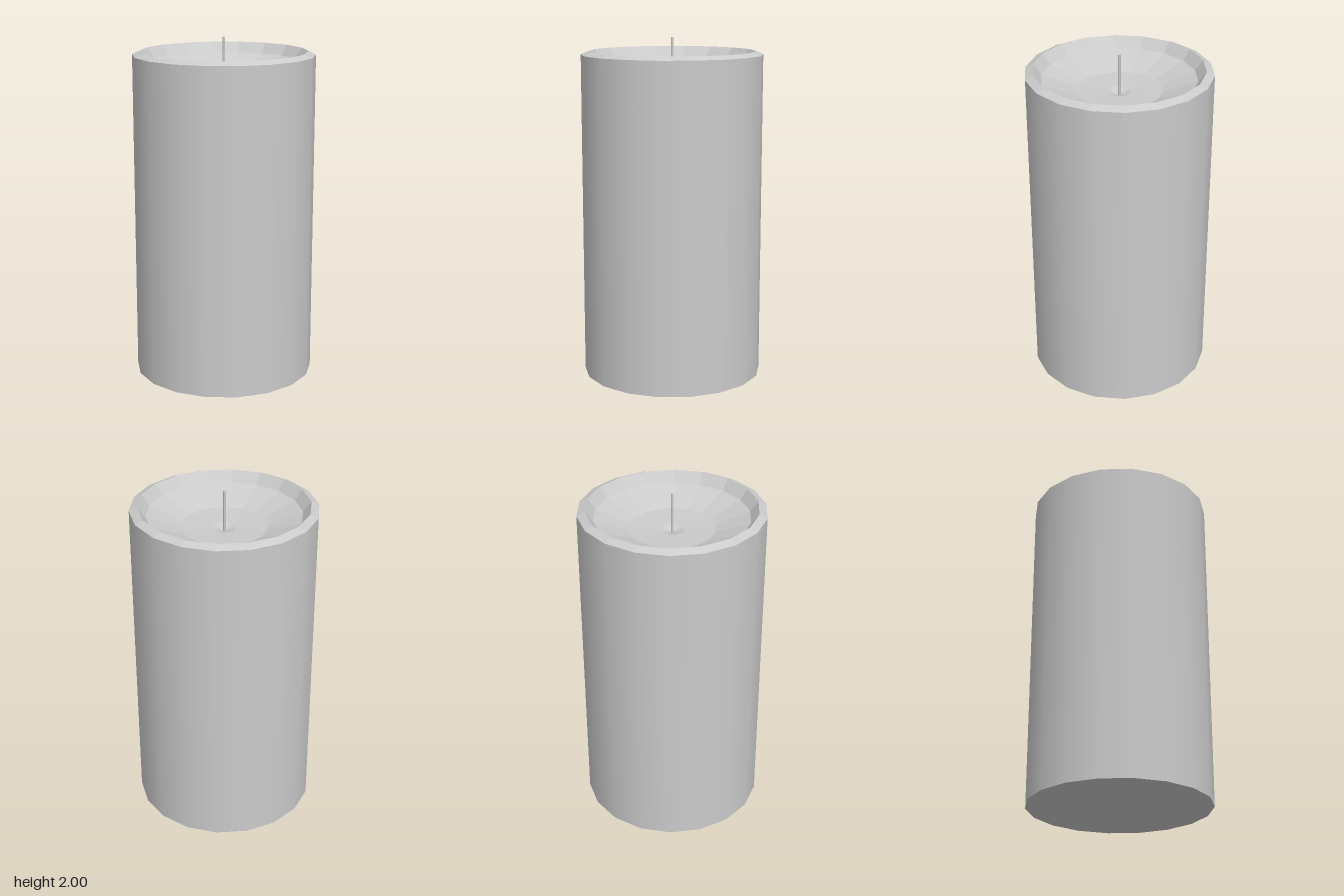
import * as THREE from 'three';

const SIDES = 18;

// One revolved band of the candle; profile runs from the base, up the outside and in to the centre.
function band(name, profile, flatShading) {
  const points = profile.map(([r, y]) => new THREE.Vector2(r, y));
  const geometry = new THREE.LatheGeometry(points, SIDES, Math.PI / 2);
  const mesh = new THREE.Mesh(geometry, new THREE.MeshStandardMaterial({ color: 0xcccccc, flatShading }));
  mesh.name = name;
  return mesh;
}

export function createModel() {
  const candle = new THREE.Group();
  candle.name = 'candle';

  // Wax body: separate bands keep the edges between them sharp
  candle.add(
    band('base', [[0, 0], [0.53, 0]], true),
    band('outerWall', [[0.53, 0], [0.53, 1.9]], false),
    band('rimBevel', [[0.53, 1.9], [0.485, 1.92]], true),
    band('innerRim', [[0.485, 1.92], [0.44, 1.86]], true),
    band('meltedHollow', [[0.44, 1.86], [0.245, 1.79], [0.065, 1.78], [0, 1.757]], true)
  );

  // Wick standing in the central dimple
  const wickBottom = 1.75, wickTop = 2;
  const wick = new THREE.Mesh(
    new THREE.CylinderGeometry(0.008, 0.008, wickTop - wickBottom, 8),
    new THREE.MeshStandardMaterial({ color: 0xcccccc })
  );
  wick.position.y = (wickBottom + wickTop) / 2;
  wick.name = 'wick';
  candle.add(wick);

  return candle;
}
